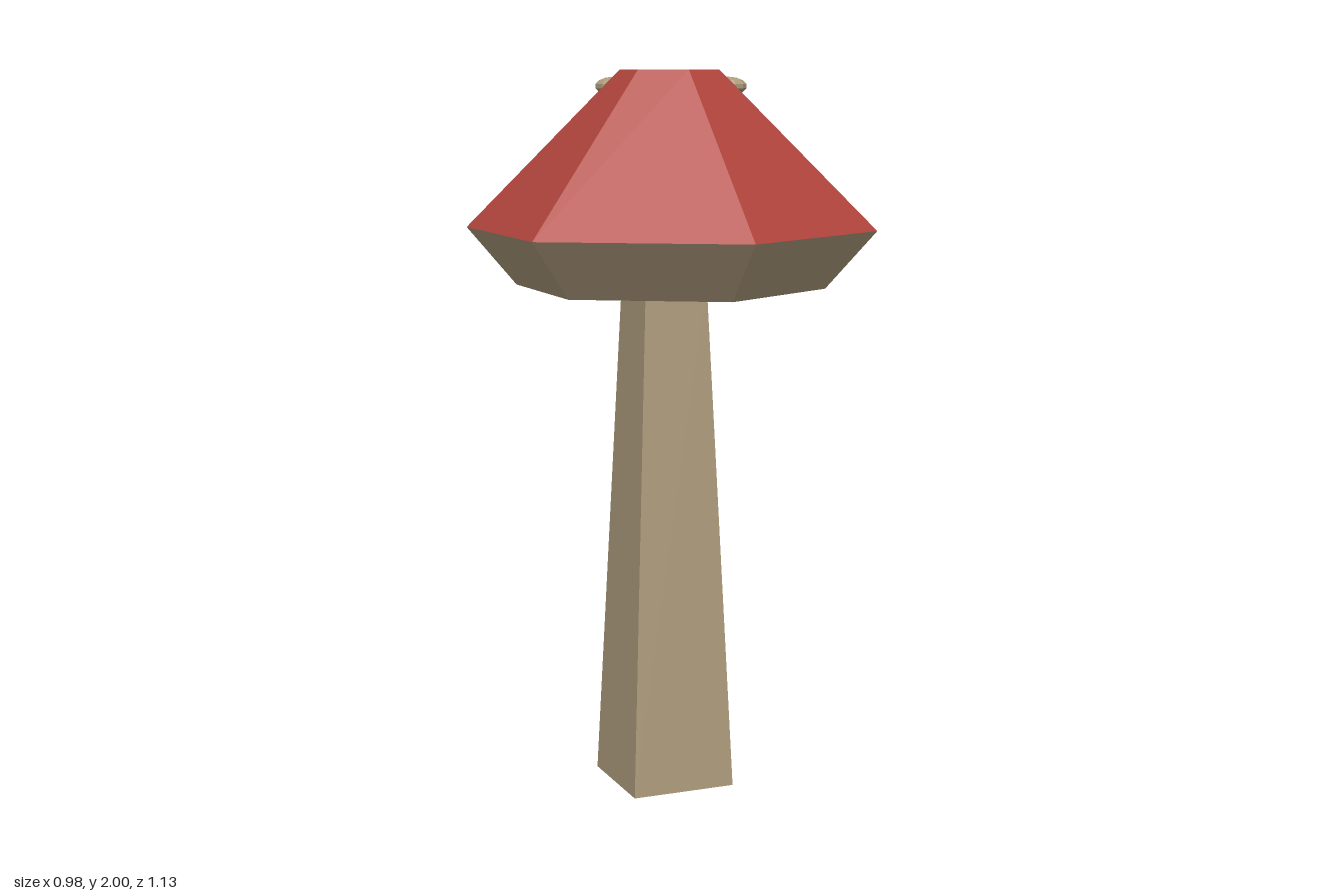
import * as THREE from 'three';

export function createModel() {
  const model = new THREE.Group();
  model.name = 'mushroom';

  const beige = new THREE.MeshStandardMaterial({ name: 'beige flesh', color: 0xae9b7c, flatShading: true });
  const red = new THREE.MeshStandardMaterial({ name: 'cap red', color: 0xb2443d, flatShading: true });

  function add(name, geometry, material, x, y, z) {
    const mesh = new THREE.Mesh(geometry, material);
    mesh.name = name;
    mesh.position.set(x, y, z);
    model.add(mesh);
    return mesh;
  }

  // Square tapering stem, slightly off the cap's axis
  const stem = new THREE.CylinderGeometry(0.09 * Math.SQRT2, 0.149 * Math.SQRT2, 1.42, 4);
  stem.rotateY(Math.PI / 4);
  add('stem', stem, beige, -0.005, 0.71, -0.027);

  // Hexagonal cap: red frustum above, pale frustum below
  const upper = new THREE.CylinderGeometry(0.136, 0.567, 0.43, 6);
  add('capTop', upper, red, 0, 1.785, 0);
  const under = new THREE.CylinderGeometry(0.567, 0.428, 0.158, 6);
  add('capUnderside', under, beige, 0, 1.491, 0);

  // Flattened round warts near the crown
  const wart = new THREE.SphereGeometry(0.054, 12, 7);
  wart.scale(1, 0.48, 1);
  const spots = [[0.194, -0.048], [0.004, -0.16], [-0.107, -0.138]];
  spots.forEach(([x, z], i) => add(`wart${i + 1}`, wart, beige, x, 1.955, z));

  return model;
}
